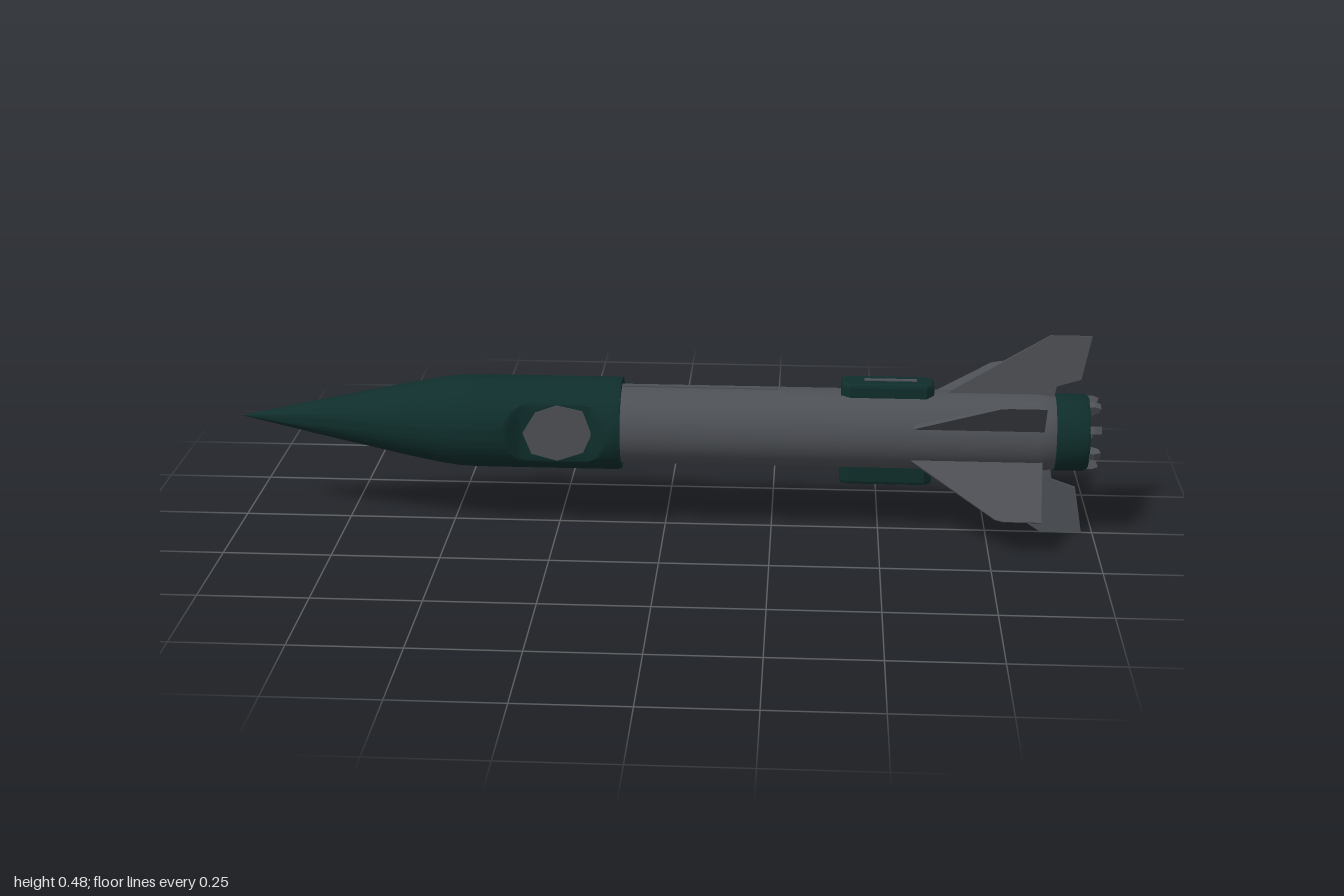
import * as THREE from 'three';
import { toCreasedNormals } from 'three/addons/utils/BufferGeometryUtils.js';

const AXIS_Y = 0.248;

export function createModel() {
  const model = new THREE.Group();
  const rocket = new THREE.Group();
  rocket.name = 'rocket';
  rocket.position.y = AXIS_Y;
  model.add(rocket);

  const green = new THREE.MeshStandardMaterial({ color: 0x0f2e2c, side: THREE.DoubleSide });
  green.name = 'darkGreen';
  const grey = new THREE.MeshStandardMaterial({ color: 0x4d5055, side: THREE.DoubleSide });
  grey.name = 'steelGrey';

  function add(name, geometry, material, parent = rocket) {
    const mesh = new THREE.Mesh(geometry, material);
    mesh.name = name;
    parent.add(mesh);
    return mesh;
  }

  // Turned part along x from [x, radius] pairs
  function turned(profile, segments = 48) {
    const points = profile.map(([x, r]) => new THREE.Vector2(r, x));
    return new THREE.LatheGeometry(points, segments).rotateZ(-Math.PI / 2);
  }
  const creased = (g) => toCreasedNormals(g, 0.5);
  const shapeOf = (pts) => new THREE.Shape(pts.map(([x, y]) => new THREE.Vector2(x, y)));

  // Nose cone and collar, pressed in on both sides around the side panels
  const noseProfile = [[-1, 0], [-0.9, 0.022], [-0.8, 0.044], [-0.7, 0.065],
    [-0.6, 0.086], [-0.52, 0.101], [-0.48, 0.106], [-0.44, 0.108]];
  for (let x = -0.42; x < -0.105; x += 0.01) noseProfile.push([x, 0.108]);
  noseProfile.push([-0.1, 0.106], [-0.1, 0.088]);
  const nose = turned(noseProfile, 96);
  const p = nose.attributes.position;
  for (let i = 0; i < p.count; i++) {
    const away = (Math.abs(p.getX(i) + 0.25) - 0.07) / 0.06;
    const limit = THREE.MathUtils.lerp(0.084, 0.109, THREE.MathUtils.smoothstep(away, 0, 1));
    p.setZ(i, THREE.MathUtils.clamp(p.getZ(i), -limit, limit));
  }
  add('nose', creased(nose), green);

  // Side panels
  const panelShape = shapeOf([[-0.325, 0], [-0.295, 0.05], [-0.245, 0.068], [-0.185, 0.055],
    [-0.165, 0], [-0.185, -0.045], [-0.245, -0.066], [-0.305, -0.05]]);
  for (const side of [1, -1]) {
    const panel = new THREE.ExtrudeGeometry(panelShape, { depth: 0.007, bevelEnabled: false });
    panel.translate(0, 0, side > 0 ? 0.08 : -0.087);
    add(side > 0 ? 'leftSidePanel' : 'rightSidePanel', panel, grey);
  }

  // Body tube with a slim spine above and below
  add('body', creased(turned([[-0.11, 0.092], [0.86, 0.092], [0.9, 0.086], [0.91, 0.08]])), grey);
  for (const side of [1, -1]) {
    const spine = add('spine', new THREE.BoxGeometry(0.36, 0.006, 0.016), grey);
    spine.position.set(0.08, side * 0.091, 0);
  }

  // Tail ring and recessed engine plate
  add('tailRing', creased(turned([[0.895, 0.08], [0.9, 0.089], [0.965, 0.089], [0.975, 0.084], [0.975, 0.074], [0.955, 0.07]])), green);
  add('enginePlate', creased(turned([[0.955, 0.075], [0.965, 0.06], [0.96, 0.035], [0.968, 0]])), grey);
  const igniter = add('igniter', new THREE.BoxGeometry(0.02, 0.036, 0.032), grey);
  igniter.position.set(0.972, -0.01, 0);

  // Crown of exhaust teeth
  const toothShape = shapeOf([[0.95, 0.06], [0.95, 0.083], [0.985, 0.085], [1, 0.08], [0.995, 0.066], [0.975, 0.058]]);
  for (let i = 0; i < 8; i++) {
    const tooth = new THREE.ExtrudeGeometry(toothShape, { depth: 0.018, bevelEnabled: false });
    tooth.translate(0, 0, -0.009);
    add('exhaustTooth', tooth, grey).rotation.x = (i + 0.5) * Math.PI / 4;
  }

  // Fin: outline in [x, share of span], thinned to the tip, spanning root to tip [y, z]
  function addFin(name, outline, root, tip) {
    const from = new THREE.Vector3(0, root[0], root[1]);
    const out = new THREE.Vector3(0, tip[0], tip[1]).sub(from);
    const span = out.length();
    out.normalize();
    const along = new THREE.Vector3(1, 0, 0);
    const g = new THREE.ExtrudeGeometry(shapeOf(outline.map(([x, s]) => [x, s * span])),
      { depth: 0.012, bevelEnabled: false });
    g.translate(0, 0, -0.006);
    const q = g.attributes.position;
    for (let i = 0; i < q.count; i++) q.setZ(i, q.getZ(i) * (1 - 0.65 * q.getY(i) / span));
    g.applyMatrix4(new THREE.Matrix4().makeBasis(along, out, along.clone().cross(out)).setPosition(from));
    g.computeVertexNormals();
    add(name, g, grey);
  }
  const tallFin = [[0.6, 0], [0.88, 1], [0.975, 1], [0.955, 0.4], [0.9, 0.3], [0.89, 0]];
  addFin('topFin', tallFin, [0.06, 0], [0.232, 0]);
  addFin('bottomFin', tallFin, [-0.06, 0], [-0.248, 0]);
  const sideFin = [[0.54, 0], [0.76, 0.97], [0.78, 1], [0.865, 1], [0.87, 0]];
  for (const side of [1, -1]) {
    const prefix = side > 0 ? 'left' : 'right';
    addFin(prefix + 'UpperFin', sideFin, [0.02, side * 0.07], [0.113, side * 0.173]);
    addFin(prefix + 'LowerFin', sideFin, [-0.038, side * 0.06], [-0.163, side * 0.165]);
  }

  // Bevelled pods above and below, each with a narrow inlaid strip
  const podShape = shapeOf([[0.415, -0.022], [0.43, -0.028], [0.6, -0.028], [0.612, -0.018],
    [0.612, 0.018], [0.6, 0.028], [0.43, 0.028], [0.415, 0.022]]);
  for (const side of [1, -1]) {
    const pod = new THREE.Group();
    pod.name = side > 0 ? 'topPod' : 'bottomPod';
    if (side < 0) pod.rotation.x = Math.PI;
    rocket.add(pod);
    const top = side > 0 ? 0.117 : 0.128;
    const shell = new THREE.ExtrudeGeometry(podShape,
      { depth: top - 0.088, bevelSize: 0.008, bevelThickness: 0.009, bevelSegments: 2 });
    shell.rotateX(-Math.PI / 2).translate(0, 0.079, 0);
    add('podShell', shell, green, pod);
    const strip = add('podStrip', new THREE.BoxGeometry(0.12, 0.004, 0.014), grey, pod);
    strip.position.set(0.52, top, 0);
  }
  return model;
}
